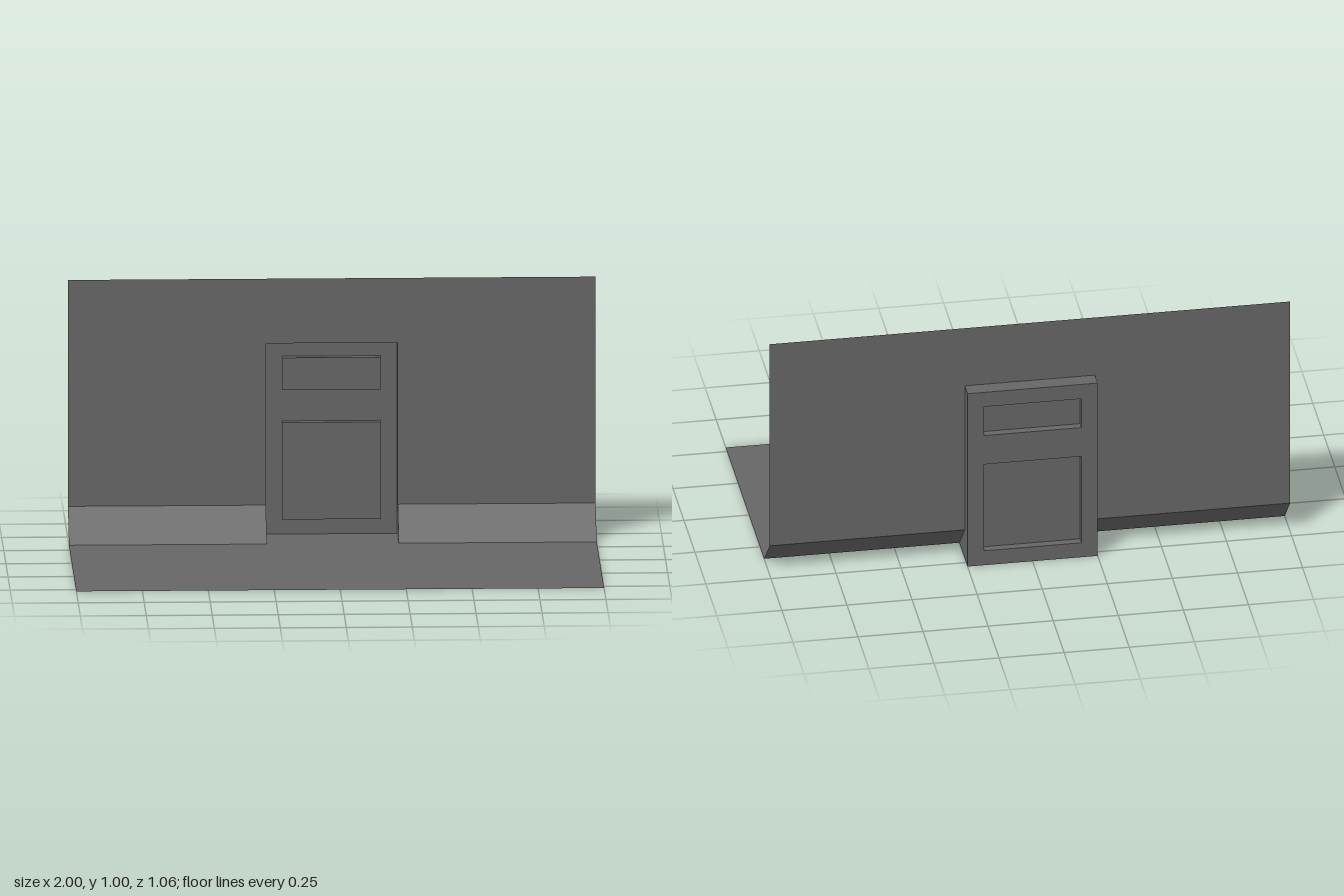
import * as THREE from 'three';

const WALL = -0.46875, BACK = -0.53125, FOOT = -0.34375, FRONT = 0.53125;
const DOOR_X = 0.25, DOOR_Y = 0.75, SKIRT_Y = 0.125;
const PANEL_X = 0.1875, PANEL_Z = -0.5;

const shape = (pts) => new THREE.Shape(pts.map(([x, y]) => new THREE.Vector2(x, y)));
const rect = (x0, y0, x1, y1) => [[x0, y0], [x1, y0], [x1, y1], [x0, y1]];

// flat four-cornered sheet, corners counter-clockwise
function quad(a, b, c, d) {
  const g = new THREE.BufferGeometry();
  g.setAttribute('position', new THREE.Float32BufferAttribute([a, b, c, a, c, d].flat(), 3));
  g.computeVertexNormals();
  return g;
}

export function createModel() {
  const group = new THREE.Group();
  group.name = 'doorwayWall';
  const grey = new THREE.MeshStandardMaterial({ color: 0x666666, side: THREE.DoubleSide });
  grey.name = 'grey';
  const add = (name, geometry) => {
    const mesh = new THREE.Mesh(geometry, grey);
    mesh.name = name;
    group.add(mesh);
    return mesh;
  };

  // floor, running back into the doorway
  add('floor', new THREE.ShapeGeometry(shape([
    [-1, -FRONT], [1, -FRONT], [1, -FOOT], [DOOR_X, -FOOT], [DOOR_X, -BACK],
    [-DOOR_X, -BACK], [-DOOR_X, -FOOT], [-1, -FOOT],
  ])).rotateX(-Math.PI / 2));

  // wall with the door opening cut out
  add('wall', new THREE.ShapeGeometry(shape([
    [-1, SKIRT_Y], [-DOOR_X, SKIRT_Y], [-DOOR_X, DOOR_Y], [DOOR_X, DOOR_Y],
    [DOOR_X, SKIRT_Y], [1, SKIRT_Y], [1, 1], [-1, 1],
  ]))).position.z = WALL;

  // sloped skirting and door jambs on both sides
  for (const s of [-1, 1]) {
    const [x0, x1] = s < 0 ? [-1, -DOOR_X] : [DOOR_X, 1];
    const side = s < 0 ? 'right' : 'left';
    add(side + 'Skirting', quad([x0, 0, FOOT], [x1, 0, FOOT], [x1, SKIRT_Y, WALL], [x0, SKIRT_Y, WALL]));
    add(side + 'Jamb', new THREE.ShapeGeometry(shape([
      [s * BACK, 0], [s * FOOT, 0], [s * WALL, SKIRT_Y], [s * WALL, DOOR_Y], [s * BACK, DOOR_Y],
    ])).rotateY(-s * Math.PI / 2)).position.x = s * DOOR_X;
  }

  // underside of the door head
  add('lintel', quad([-DOOR_X, DOOR_Y, BACK], [DOOR_X, DOOR_Y, BACK], [DOOR_X, DOOR_Y, WALL], [-DOOR_X, DOOR_Y, WALL]));

  // door sheet with two raised panels, hollow behind
  const doorShape = shape(rect(-DOOR_X, 0, DOOR_X, DOOR_Y));
  for (const [name, y0, y1] of [['lowerPanel', 0.0625, 0.4375], ['upperPanel', 0.5625, 0.6875]]) {
    const corners = rect(-PANEL_X, y0, PANEL_X, y1);
    doorShape.holes.push(shape(corners));
    add(name, new THREE.ShapeGeometry(shape(corners))).position.z = PANEL_Z;
    corners.forEach((p, i) => {
      const q = corners[(i + 1) % 4];
      add(name + 'Edge', quad([...p, BACK], [...q, BACK], [...q, PANEL_Z], [...p, PANEL_Z]));
    });
  }
  add('door', new THREE.ShapeGeometry(doorShape)).position.z = BACK;

  return group;
}
